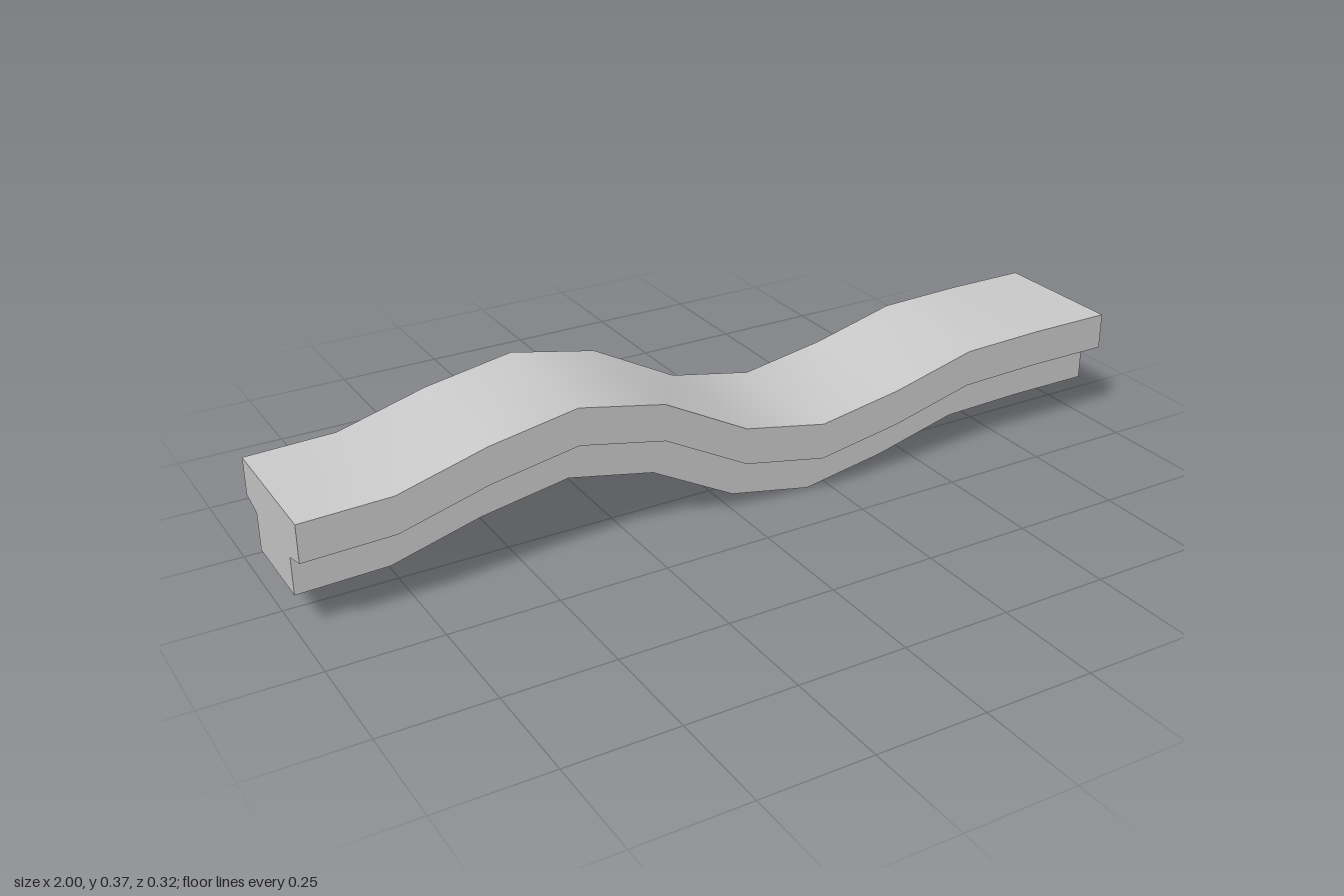
import * as THREE from 'three';
import { toCreasedNormals } from 'three/addons/utils/BufferGeometryUtils.js';

// Height of the top surface at 11 evenly spaced stations from x = -1 to x = 1
const TOP = [0.277, 0.283, 0.338, 0.373, 0.332, 0.225, 0.186, 0.22, 0.271, 0.277, 0.277];

// Half of the T-shaped section: distance from the centre line, depth below the top
const HALF = [[0.161, 0], [0.161, -0.085], [0.102, -0.1], [0.102, -0.186]];

export function createModel() {
  const group = new THREE.Group();
  group.name = 'wavyRail';

  // Mirror the half section and sweep it straight along x
  const mirrored = HALF.map(([z, y]) => [-z, y]).reverse();
  const section = new THREE.Shape([...HALF, ...mirrored].map(([z, y]) => new THREE.Vector2(z, y)));
  const steps = TOP.length - 1;
  const bar = new THREE.ExtrudeGeometry(section, { depth: 2, steps, bevelEnabled: false });
  bar.translate(0, 0, -1);
  bar.rotateY(Math.PI / 2);

  // Lift every station to its height so the bar follows the wave
  const pos = bar.attributes.position;
  for (let i = 0; i < pos.count; i++) {
    const station = Math.round(((pos.getX(i) + 1) / 2) * steps);
    pos.setY(i, pos.getY(i) + TOP[station]);
  }

  // Smooth along the wave, sharp at the section corners
  const rail = new THREE.Mesh(
    toCreasedNormals(bar, 0.6),
    new THREE.MeshStandardMaterial({ color: 0xcccccc })
  );
  rail.name = 'rail';
  group.add(rail);
  return group;
}
